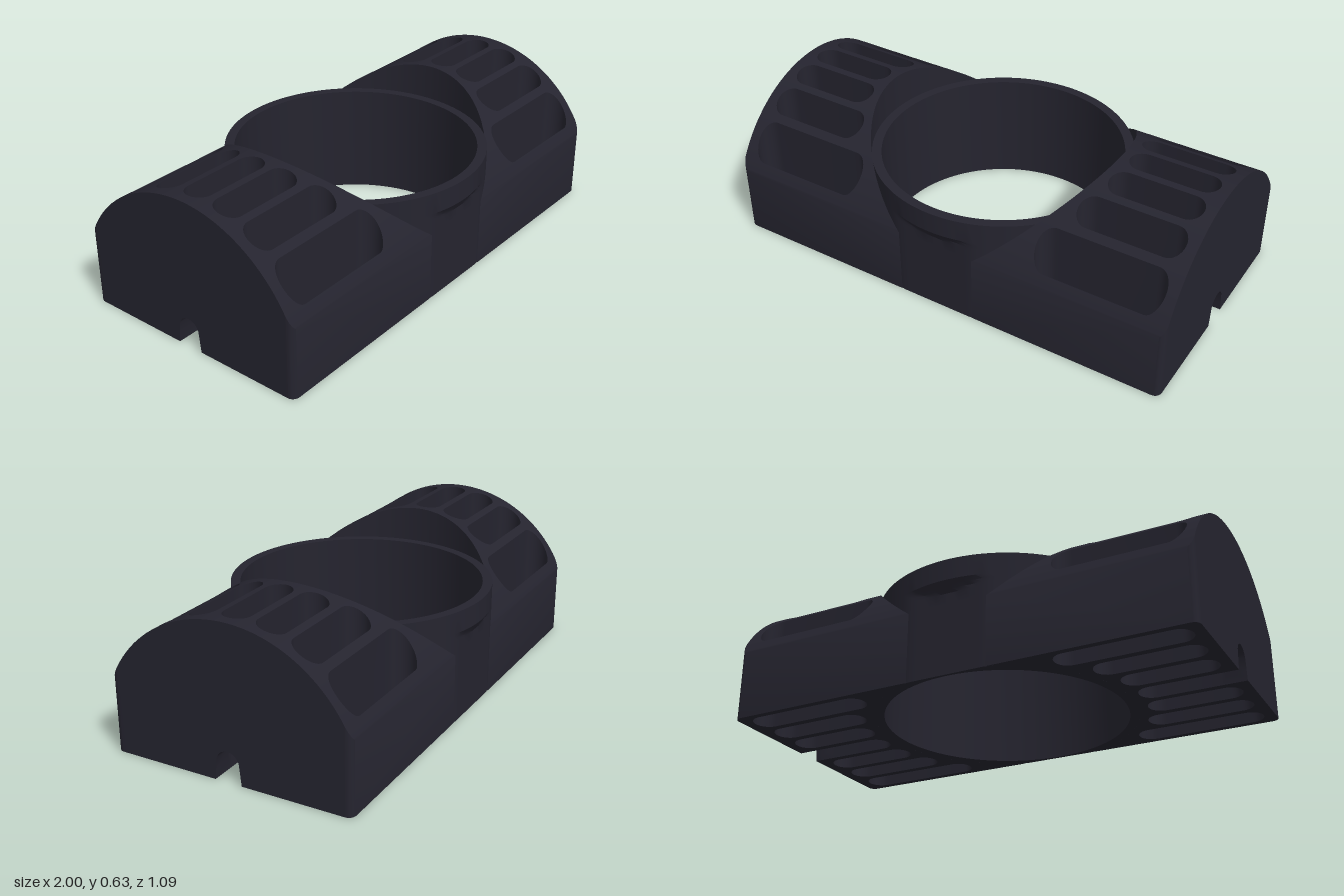
import * as THREE from 'three';
import { toCreasedNormals } from 'three/addons/utils/BufferGeometryUtils.js';

const DEPTH = 0.517, CORNER = 0.03;            // half depth, plan corner radius
const ARCH_Y = 0.068, ARCH_R = 0.565;          // arched top
const BORE = 0.505, COLLAR = 0.545, COLLAR_TOP = 0.48;
const SLOT_R = 0.0575, SLOT_END = 0.955;
const slots = [[0, 0.58], [0.1443, 0.565], [0.2887, 0.512], [0.433, 0.415]]
  .flatMap(([z, inner]) => (z ? [{ z, inner }, { z: -z, inner }] : [{ z, inner }]));

const root = (v) => Math.sqrt(Math.max(0, v));
const archTop = (z) => ARCH_Y + root(ARCH_R ** 2 - z * z);
const innerX = (z) => root(COLLAR ** 2 - z * z);
const outerX = (z) => 1 - CORNER + root(CORNER ** 2 - Math.max(0, Math.abs(z) - DEPTH + CORNER) ** 2);

// underside height of the keyhole notch in each end wall
const NECK = 0.048;
function notchY(z) {
  const a = Math.abs(z);
  const y = (v) => 0.077 + root(0.05 ** 2 - v * v);
  return a <= NECK ? y(a) : y(NECK) * Math.max(0, (SLOT_R - a) / (SLOT_R - NECK));
}

// z positions of the slices: slot roundings, notch neck, rounded corners
function sliceDepths() {
  const zs = [-NECK, NECK];
  for (const s of slots) for (let i = 0; i <= 16; i++) zs.push(s.z + SLOT_R * Math.cos((i * Math.PI) / 16));
  for (let i = 0; i <= 6; i++) {
    const z = DEPTH - CORNER + CORNER * Math.sin((i * Math.PI) / 12);
    zs.push(z, -z);
  }
  return zs.sort((a, b) => a - b).filter((z, i, all) => i === 0 || z - all[i - 1] > 1e-5);
}

// one slotted end of the body, side = 1 or -1
function bodyGeometry(side) {
  const pos = [];
  const quad = (a, b, c, d) => {
    const order = side > 0 ? [a, b, c, a, c, d] : [a, c, b, a, d, c];
    for (const p of order) pos.push(p[0] * side, p[1], p[2]);
  };
  // solid between two x curves over one slice
  const bar = (x0, x1, z0, z1, under) => {
    const p = (fx, fy, z) => [fx(z), fy(z), z];
    quad(p(x0, archTop, z0), p(x0, archTop, z1), p(x1, archTop, z1), p(x1, archTop, z0));
    quad(p(x0, under, z0), p(x1, under, z0), p(x1, under, z1), p(x0, under, z1));
    quad(p(x1, under, z0), p(x1, archTop, z0), p(x1, archTop, z1), p(x1, under, z1));
    quad(p(x0, under, z0), p(x0, under, z1), p(x0, archTop, z1), p(x0, archTop, z0));
  };
  // upright wall facing +z or -z
  const wall = (xa, xb, z, facing) => {
    const t = archTop(z);
    const c = [[xa, 0, z], [xb, 0, z], [xb, t, z], [xa, t, z]];
    quad(...(facing > 0 ? c : c.reverse()));
  };
  const flat = () => 0;
  const zs = sliceDepths();
  for (let i = 0; i + 1 < zs.length; i++) {
    const z0 = zs[i], z1 = zs[i + 1], mid = (z0 + z1) / 2;
    const slot = slots.find((s) => Math.abs(mid - s.z) < SLOT_R);
    if (!slot) {
      bar(innerX, outerX, z0, z1, flat);
      continue;
    }
    const cap = (z) => SLOT_R - root(SLOT_R ** 2 - (z - slot.z) ** 2);
    bar(innerX, (z) => slot.inner + cap(z), z0, z1, flat);
    bar((z) => SLOT_END - cap(z), outerX, z0, z1, slot.z === 0 ? notchY : flat);
  }
  for (const s of slots) for (const f of [1, -1]) {
    wall(s.inner + SLOT_R, SLOT_END - SLOT_R, s.z - f * SLOT_R, f);
  }
  for (const f of [1, -1]) wall(innerX(DEPTH), outerX(DEPTH), f * DEPTH, f);
  const g = new THREE.BufferGeometry();
  g.setAttribute('position', new THREE.Float32BufferAttribute(pos, 3));
  return toCreasedNormals(g, 0.5);
}

// bored collar: flush with the long walls below, flaring to a full ring above
function collarGeometry() {
  const flareLow = 0.345, flareHigh = 0.39;
  const heights = [0, 0.3, flareLow, 0.36, 0.375, flareHigh, COLLAR_TOP];
  const profile = [
    new THREE.Vector2(BORE, 0),
    ...heights.map((y) => new THREE.Vector2(COLLAR, y)),
    new THREE.Vector2(BORE, COLLAR_TOP),
    new THREE.Vector2(BORE, 0),
  ];
  const g = new THREE.LatheGeometry(profile, 128);
  const p = g.attributes.position;
  for (let i = 0; i < p.count; i++) {
    const x = p.getX(i), y = p.getY(i), z = p.getZ(i), r = Math.hypot(x, z);
    if (r < COLLAR - 0.01) continue;
    const t = THREE.MathUtils.clamp((y - flareLow) / (flareHigh - flareLow), 0, 1);
    const flare = THREE.MathUtils.lerp(DEPTH, COLLAR, t);
    const clipped = Math.min(COLLAR, (DEPTH * r) / Math.max(Math.abs(z), 1e-6));
    const k = Math.max(flare, clipped) / r;
    p.setXYZ(i, x * k, y, z * k);
  }
  g.deleteAttribute('normal');
  g.deleteAttribute('uv');
  return toCreasedNormals(g.toNonIndexed(), 0.5);
}

export function createModel() {
  const model = new THREE.Group();
  model.name = 'slottedHolder';
  const charcoal = new THREE.MeshStandardMaterial({ color: 0x25242f });
  charcoal.name = 'charcoal';
  const add = (name, geometry) => {
    const mesh = new THREE.Mesh(geometry, charcoal);
    mesh.name = name;
    model.add(mesh);
  };
  add('leftSlottedBody', bodyGeometry(1));
  add('rightSlottedBody', bodyGeometry(-1));
  add('boredCollar', collarGeometry());
  return model;
}
